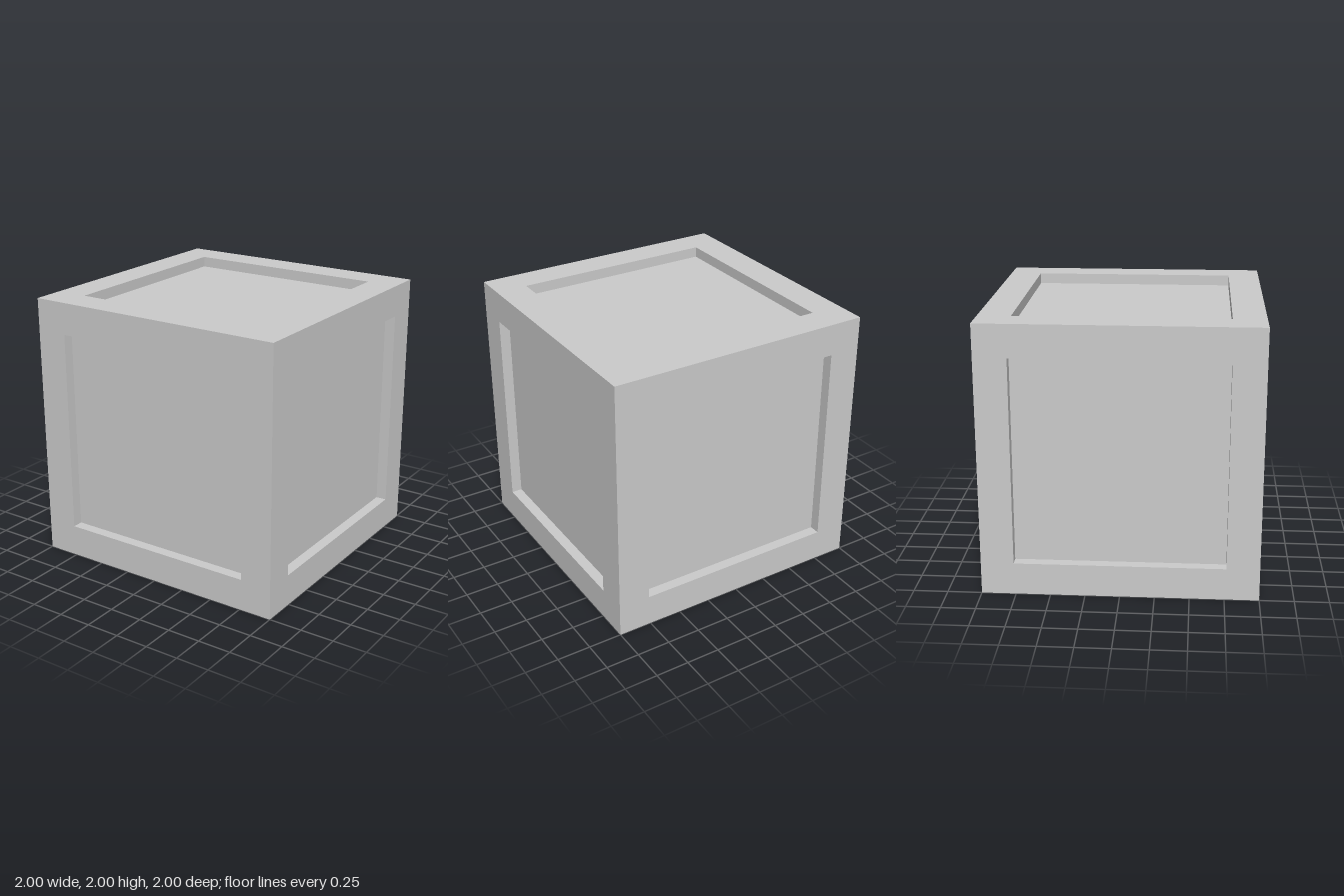
import * as THREE from 'three';
import { mergeGeometries } from 'three/addons/utils/BufferGeometryUtils.js';

const HALF = 1;        // half of the cube's edge
const RECESS = 0.762;  // half width of the square recess
const DEPTH = 0.08;    // depth of the recess

function square(path, r) {
  path.moveTo(-r, -r);
  path.lineTo(r, -r);
  path.lineTo(r, r);
  path.lineTo(-r, r);
  path.closePath();
  return path;
}

// Border of one side with the four walls of its recess, facing +z
function frameGeometry() {
  const shape = square(new THREE.Shape(), HALF);
  shape.holes.push(square(new THREE.Path(), RECESS));
  const parts = [new THREE.ShapeGeometry(shape).translate(0, 0, HALF)];
  for (let i = 0; i < 4; i++) {
    parts.push(new THREE.PlaneGeometry(2 * RECESS, DEPTH)
      .rotateX(-Math.PI / 2)
      .translate(0, -RECESS, HALF - DEPTH / 2)
      .rotateZ(i * Math.PI / 2));
  }
  return mergeGeometries(parts);
}

export function createModel() {
  const model = new THREE.Group();
  model.name = 'panelledCube';
  const material = new THREE.MeshStandardMaterial({ color: 0xcccccc });
  const frame = frameGeometry();
  const panel = new THREE.PlaneGeometry(2 * RECESS, 2 * RECESS).translate(0, 0, HALF - DEPTH);

  // Six equal sides, each turned to its direction
  const q = Math.PI / 2;
  const sides = {
    front: [0, 0], left: [0, q], back: [0, 2 * q], right: [0, -q], top: [-q, 0], bottom: [q, 0],
  };
  for (const [name, [rx, ry]] of Object.entries(sides)) {
    const side = new THREE.Group();
    side.name = name + 'Side';
    const border = new THREE.Mesh(frame, material);
    border.name = name + 'Frame';
    const inset = new THREE.Mesh(panel, material);
    inset.name = name + 'Panel';
    side.add(border, inset);
    side.rotation.set(rx, ry, 0);
    side.position.y = HALF;
    model.add(side);
  }
  return model;
}
